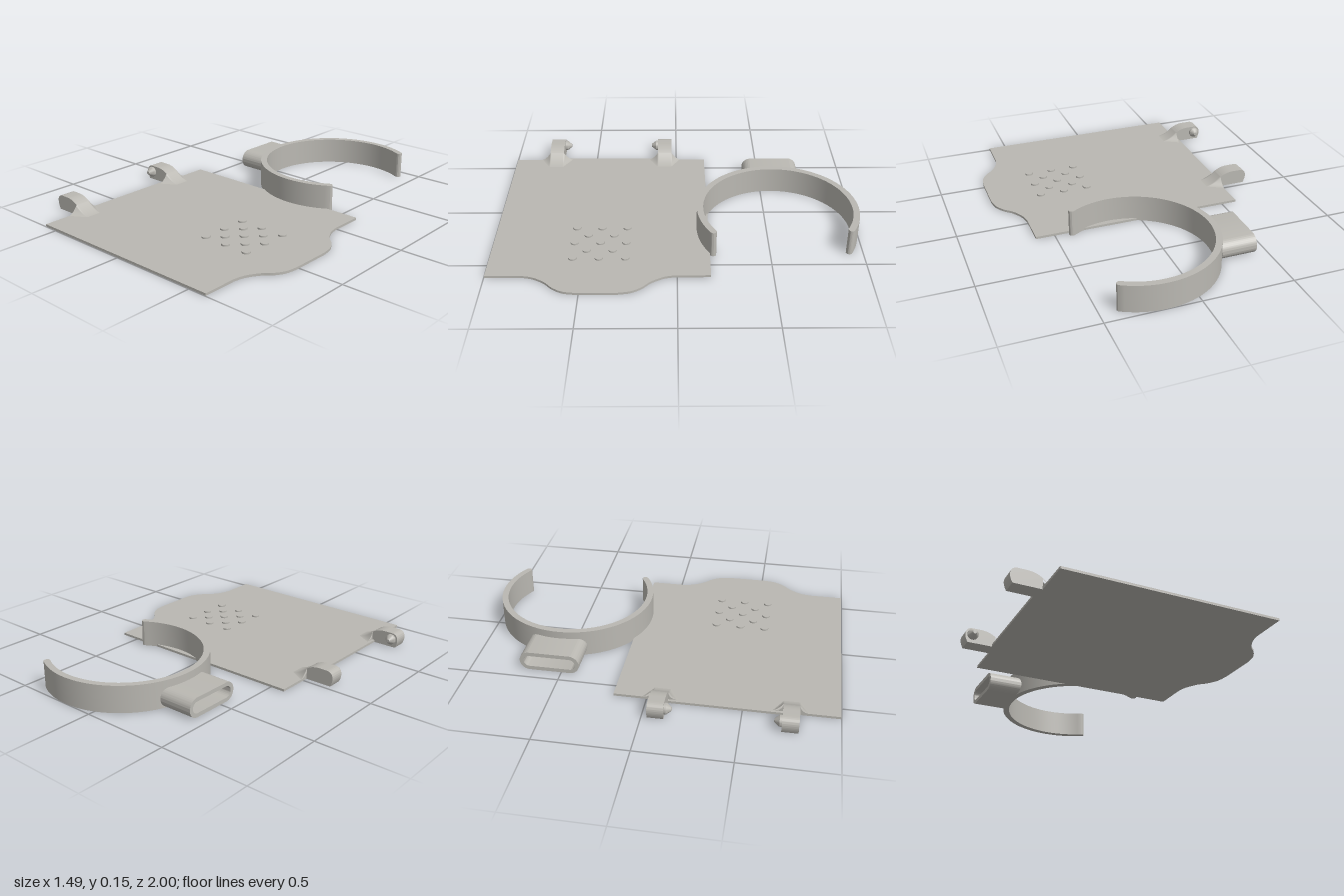
import * as THREE from 'three';
import { toCreasedNormals } from 'three/addons/utils/BufferGeometryUtils.js';

const T = 0.013;   // plate thickness
const MID = 0.41;  // z of the plate's mirror line

export function createModel() {
  const group = new THREE.Group();
  const grey = new THREE.MeshStandardMaterial({ color: 0xbab8b2 });
  grey.name = 'warm grey';

  function add(name, geometry, parent = group) {
    const mesh = new THREE.Mesh(geometry, grey);
    mesh.name = name;
    parent.add(mesh);
    return mesh;
  }
  function extrude(shape, depth) {
    const g = new THREE.ExtrudeGeometry(shape, { depth, bevelEnabled: false, curveSegments: 40 });
    return toCreasedNormals(g, 0.5);
  }
  // Outline drawn in (x, -z), raised along y
  const raise = (shape, height) => extrude(shape, height).rotateX(-Math.PI / 2);

  // Flat plate with a curved thumb tab on its left edge
  const plate = new THREE.Shape();
  const sweep = [[0.605, 0.01], [0.618, 0.07], [0.655, 0.135], [0.7, 0.18], [0.733, 0.235], [0.745, 0.3]];
  plate.moveTo(-0.585, 0.175);
  plate.lineTo(-0.585, -0.03);
  plate.lineTo(-0.6, -0.03);
  plate.lineTo(-0.6, -0.79);
  plate.lineTo(-0.585, -0.79);
  plate.lineTo(-0.585, -0.997);
  plate.lineTo(0.605, -0.997);
  plate.lineTo(0.605, -(2 * MID - 0.01));
  plate.splineThru(sweep.slice(1).map(([x, z]) => new THREE.Vector2(x, z - 2 * MID)));
  plate.lineTo(0.745, -0.3);
  plate.splineThru(sweep.slice(0, -1).reverse().map(([x, z]) => new THREE.Vector2(x, -z)));
  plate.lineTo(0.605, 0.175);
  add('plate', raise(plate, T));

  // Grip bumps in a staggered grid
  const bumps = new THREE.Group();
  bumps.name = 'gripBumps';
  group.add(bumps);
  for (let i = -2; i <= 2; i++) {
    for (let j = -2; j <= 2; j++) {
      if ((i + j) % 2) continue;
      add('gripBump', new THREE.CylinderGeometry(0.023, 0.023, 0.012, 24), bumps)
        .position.set(0.315 + i * 0.07, 0.016, 0.415 + j * 0.07);
    }
  }

  // Open ring with rounded ends
  const outer = 0.445, inner = 0.41, mid = (outer + inner) / 2, capR = (outer - inner) / 2;
  const a0 = THREE.MathUtils.degToRad(60), a1 = THREE.MathUtils.degToRad(302);
  const ring = new THREE.Shape();
  ring.absarc(0, 0, outer, a0, a1, false);
  ring.absarc(mid * Math.cos(a1), mid * Math.sin(a1), capR, a1, a1 + Math.PI, false);
  ring.absarc(0, 0, inner, a1, a0, true);
  ring.absarc(mid * Math.cos(a0), mid * Math.sin(a0), capR, a0 + Math.PI, a0 + 2 * Math.PI, false);
  add('openRing', raise(ring, 0.15)).position.set(0.18, 0, -0.555);

  // Flat hollow sleeve joined to the ring
  function stadium(path, half, r) {
    path.absarc(half, 0, r, -Math.PI / 2, Math.PI / 2, false);
    path.absarc(-half, 0, r, Math.PI / 2, Math.PI * 1.5, false);
    path.closePath();
    return path;
  }
  const sleeve = stadium(new THREE.Shape(), 0.111, 0.054);
  sleeve.holes.push(stadium(new THREE.Path(), 0.111, 0.032));
  add('sleeve', extrude(sleeve, 0.197).rotateY(Math.PI / 2)).position.set(-0.43, 0.054, -0.565);

  // Hinge arms, mirrored about the plate's middle
  const arm = new THREE.Shape();
  arm.moveTo(-0.735, 0);
  arm.lineTo(-0.585, 0);
  arm.lineTo(-0.585, 0.061);
  arm.quadraticCurveTo(-0.62, 0.085, -0.665, 0.085);
  arm.lineTo(-0.71, 0.085);
  arm.bezierCurveTo(-0.745, 0.085, -0.762, 0.05, -0.735, 0);

  // Concave root that blends an arm into the plate
  function rootGeometry() {
    const nx = 16, nz = 40, half = 0.0425;
    const g = new THREE.PlaneGeometry(1, 2, nx, nz).rotateX(-Math.PI / 2);
    const p = g.attributes.position;
    for (let i = 0; i < p.count; i++) {
      const t = p.getX(i) + 0.5, s = p.getZ(i);
      const height = 0.05 * (1 - t) ** 2;
      const f = Math.max(0, (Math.abs(s) - 0.4) / 0.6);
      const z = Math.abs(s) < 0.4 ? s / 0.4 * half : Math.sign(s) * (half + 0.065 * (1 - t) * f);
      p.setXYZ(i, -0.585 + 0.11 * t, T - 0.002 + height * (1 - f) ** 2, z);
    }
    g.computeVertexNormals();
    return g;
  }
  // End face of the root, on the plate's edge
  function rootEnd() {
    const s = new THREE.Shape();
    s.moveTo(-0.1075, T - 0.002);
    s.lineTo(0.1075, T - 0.002);
    s.quadraticCurveTo(0.0425, T - 0.002, 0.0425, 0.061);
    s.lineTo(-0.0425, 0.061);
    s.quadraticCurveTo(-0.0425, T - 0.002, -0.1075, T - 0.002);
    return new THREE.ShapeGeometry(s).rotateY(-Math.PI / 2);
  }

  for (const side of [-1, 1]) {
    const hinge = new THREE.Group();
    hinge.name = side < 0 ? 'backHinge' : 'frontHinge';
    hinge.position.z = MID + side * 0.3375;
    group.add(hinge);
    add('hingeArm', extrude(arm, 0.085), hinge).position.z = -0.0425;
    add('armRoot', rootGeometry(), hinge);
    add('armRootEnd', rootEnd(), hinge).position.x = -0.585;

    // Pin with a blunt tip pointing to the other arm
    const pin = new THREE.LatheGeometry(
      [[0.03, -0.005], [0.03, 0.012], [0.03, 0.012], [0.01, 0.038], [0.01, 0.038], [0, 0.039]]
        .map(([r, y]) => new THREE.Vector2(r, y)), 24);
    pin.rotateX(-side * Math.PI / 2);
    add('hingePin', toCreasedNormals(pin, 0.5), hinge).position.set(-0.708, 0.048, -side * 0.0425);
  }
  return group;
}
